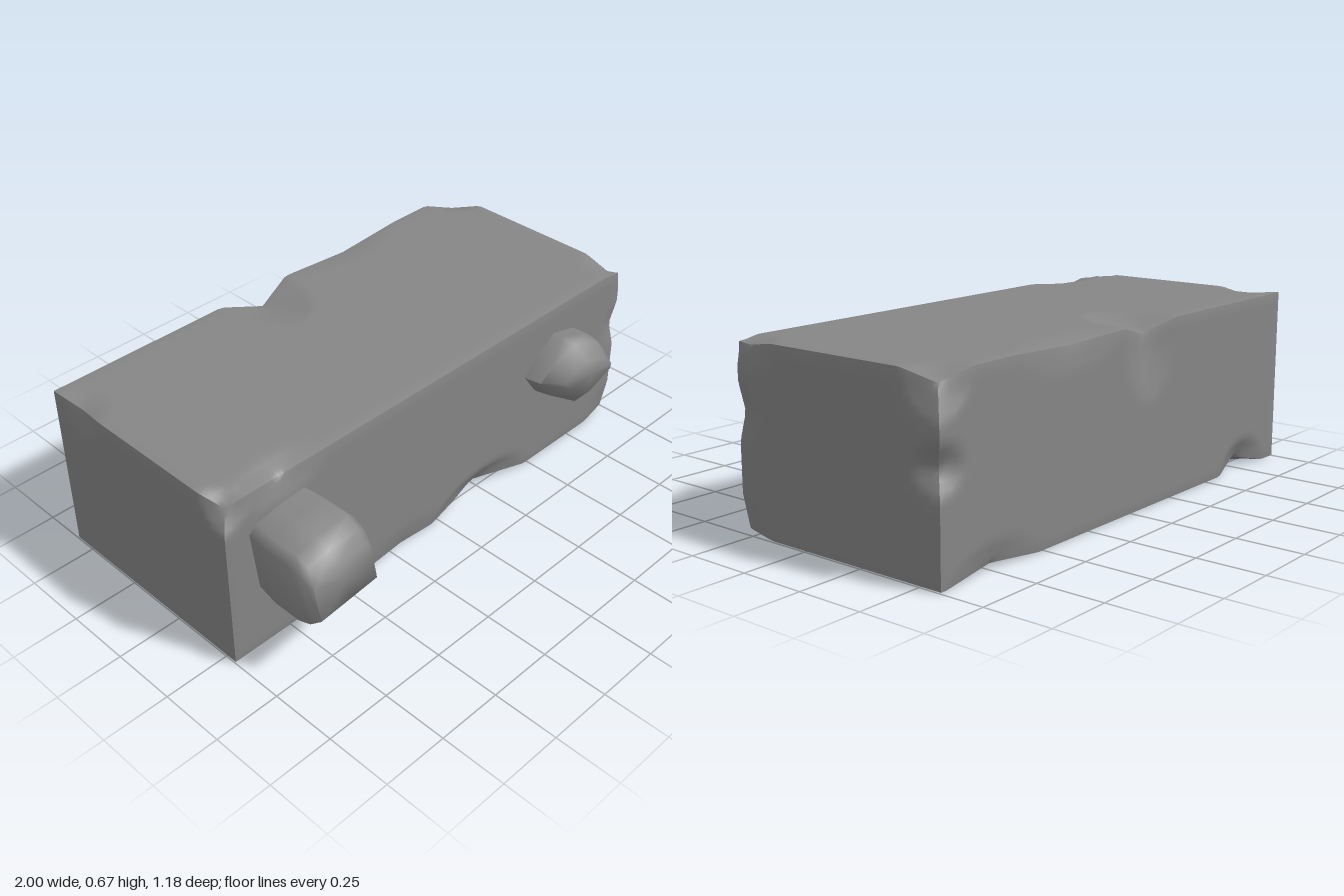
import * as THREE from 'three';
import { toCreasedNormals } from 'three/addons/utils/BufferGeometryUtils.js';

const stone = new THREE.MeshStandardMaterial({ color: 0x868686 });
const AXES = ['x', 'y', 'z'];

// Block extents
const LO = new THREE.Vector3(-1, 0, -0.588), HI = new THREE.Vector3(1, 0.667, 0.298);
const MID = LO.clone().add(HI).multiplyScalar(0.5);

// Signed axes of the block faces a point lies on, pointing into the block
const inward = p => new THREE.Vector3(...AXES.map(a =>
  Math.min(p[a] - LO[a], HI[a] - p[a]) < 1e-5 ? Math.sign(MID[a] - p[a]) : 0));

// A chip sits on an edge or corner and pushes the stone inward
const chip = (x, y, z, length, depth, spread = 0.08 + depth) => {
  const centre = new THREE.Vector3(x, y, z), push = inward(centre);
  const reach = new THREE.Vector3(...AXES.map(a => (push[a] ? spread : length)));
  return { centre, reach, push: push.multiplyScalar(depth) };
};

const chips = [
  // bottom front and back
  chip(0.22, 0, HI.z, 0.26, 0.045),
  chip(-0.2, 0, HI.z, 0.3, 0.012),
  chip(-0.75, 0, LO.z, 0.16, 0.04),
  chip(0.75, 0, LO.z, 0.22, 0.02),
  // top front and back
  chip(-0.75, HI.y, HI.z, 0.2, 0.025),
  chip(-0.1, HI.y, LO.z, 0.16, 0.045, 0.28),
  chip(0.35, HI.y, LO.z, 0.3, 0.012),
  // upper ends
  chip(-1, HI.y, HI.z, 0.1, 0.04),
  chip(-1, HI.y, -0.45, 0.12, 0.02),
  chip(1, HI.y, LO.z, 0.1, 0.04, 0.16),
  chip(1, HI.y, 0.25, 0.12, 0.02),
  // upright edges of the left end, and its foot
  chip(1, 0.37, LO.z, 0.09, 0.04),
  chip(1, 0.42, HI.z, 0.1, 0.015),
  chip(1, 0, HI.z, 0.1, 0.015, 0.14),
];

function blockGeometry() {
  const size = HI.clone().sub(LO);
  const geo = new THREE.BoxGeometry(size.x, size.y, size.z, 80, 28, 36);
  geo.translate(MID.x, MID.y, MID.z);
  const pos = geo.attributes.position, start = new THREE.Vector3();
  for (let i = 0; i < pos.count; i++) {
    start.fromBufferAttribute(pos, i);
    const p = start.clone(), faces = inward(start);
    // Lightly worn edges
    if (faces.lengthSq() > 1) p.addScaledVector(faces, 0.003);
    // Chips fade out linearly from their centres
    for (const { centre, reach, push } of chips) {
      const d = start.clone().sub(centre).divide(reach).length();
      if (d < 1) p.addScaledVector(push, 1 - d);
    }
    pos.setXYZ(i, p.x, p.y, p.z);
  }
  return toCreasedNormals(geo, 0.7);
}

// Lump made from scaled copies of an outline; rings are [z, scaleX, scaleY, dx, dy], slope tilts the face
function lumpGeometry(outline, rings, slope) {
  const n = outline.length, verts = [], index = [];
  const cx = outline.reduce((s, q) => s + q[0], 0) / n;
  const cy = outline.reduce((s, q) => s + q[1], 0) / n;
  rings.forEach(([z, sx, sy, dx, dy], k) => {
    for (const [x, y] of outline) {
      const px = cx + (x - cx) * sx + dx;
      verts.push(px, cy + (y - cy) * sy + dy, z + (k ? slope * (px - cx) : 0));
    }
  });
  const last = rings.length - 1, [z, , , dx, dy] = rings[last];
  verts.push(cx + dx, cy + dy, z + slope * dx + 0.008);
  for (let k = 0; k < last; k++) for (let i = 0; i < n; i++) {
    const a = k * n + i, b = k * n + (i + 1) % n;
    index.push(a, b, b + n, a, b + n, a + n);
  }
  for (let i = 0; i < n; i++) index.push(last * n + i, last * n + (i + 1) % n, rings.length * n);
  const geo = new THREE.BufferGeometry();
  geo.setAttribute('position', new THREE.Float32BufferAttribute(verts, 3));
  geo.setIndex(index);
  return toCreasedNormals(geo, 1.2);
}

export function createModel() {
  const group = new THREE.Group();
  const add = (name, geo) => {
    const mesh = new THREE.Mesh(geo, stone);
    mesh.name = name;
    group.add(mesh);
  };

  add('stoneBlock', blockGeometry());

  // Squarish lump on the right, outline counter-clockwise from the front
  add('rightLump', lumpGeometry(
    [[-0.60, 0.29], [-0.63, 0.53], [-0.66, 0.56], [-0.79, 0.55],
      [-0.88, 0.53], [-0.91, 0.50], [-0.88, 0.25], [-0.74, 0.27]],
    [[0.25, 0.92, 0.92, 0, 0.01], [0.38, 1, 1, 0, 0], [0.49, 1, 1, 0, 0],
      [0.54, 0.97, 0.86, 0, -0.01], [0.58, 0.88, 0.64, 0, -0.02]], 0));

  // Smaller faceted lump on the left
  add('leftLump', lumpGeometry(
    [[0.63, 0.27], [0.77, 0.41], [0.775, 0.45], [0.72, 0.53],
      [0.60, 0.56], [0.50, 0.49], [0.445, 0.43], [0.50, 0.35]],
    [[0.25, 0.95, 0.95, 0, 0], [0.34, 1, 1, 0, 0], [0.40, 0.93, 0.93, 0, 0],
      [0.455, 0.65, 0.5, 0.01, 0]], 0.22));

  return group;
}
